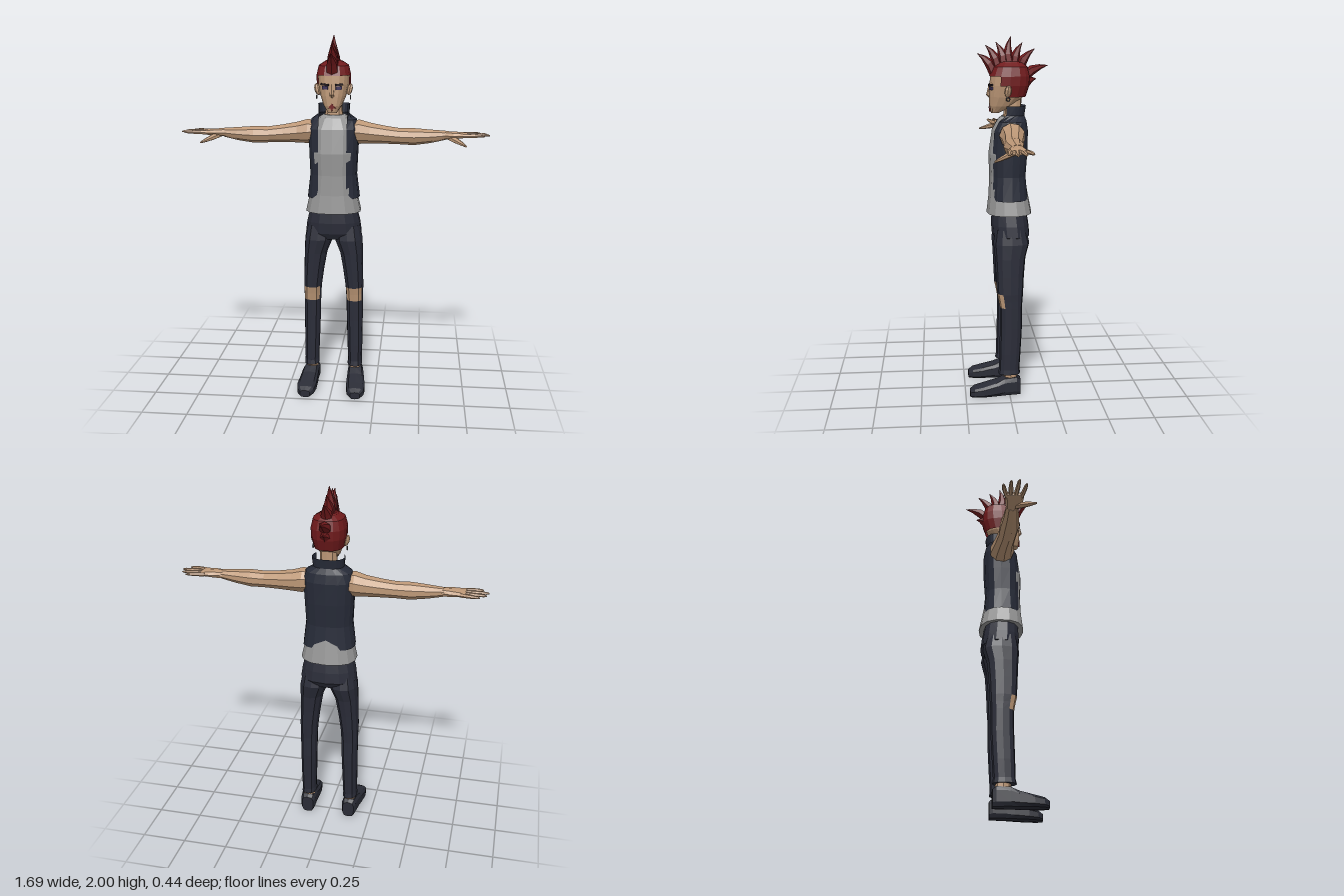
import * as THREE from 'three';

const mat = (name, color, side = THREE.FrontSide) => {
  const m = new THREE.MeshStandardMaterial({ color, side, flatShading: true });
  m.name = name;
  return m;
};

// Superellipse ring. Row = [position on axis, centre a, centre b, radius a, radius b]
function ring(axis, [p, ca, cb, ra, rb], n, e = 0.85, gap = 0, s = 1) {
  const pw = v => Math.sign(v) * Math.abs(v) ** e;
  const pts = [];
  const count = gap ? n + 1 : n;
  // a fixed-width opening at the front when gap is given
  const a0 = gap ? Math.asin(Math.min(0.98, gap / ra) ** (1 / e)) : 0;
  for (let j = 0; j < count; j++) {
    const t = a0 + (j / n) * (Math.PI * 2 - 2 * a0);
    const a = ca + ra * pw(Math.sin(t)), b = cb + rb * pw(Math.cos(t));
    const v = axis === 'x' ? [p, a, b] : axis === 'y' ? [a, p, b] : [a, b, p];
    pts.push(new THREE.Vector3(v[0] * s, v[1], v[2]));
  }
  return pts;
}

// Skin a list of rings; pick(i, j) gives the material index of a quad, or -1 for none
function loft(name, rings, mats, { pick = () => 0, caps = true, open = false } = {}) {
  const list = [].concat(mats), buckets = list.map(() => []);
  const n = rings[0].length, mid = new THREE.Vector3();
  rings.flat().forEach(p => mid.add(p));
  mid.divideScalar(rings.length * n);
  for (let i = 0; i < rings.length - 1; i++) {
    for (let j = 0; j < (open ? n - 1 : n); j++) {
      const k = pick(i, j);
      if (k < 0) continue;
      const a = rings[i][j], b = rings[i][(j + 1) % n], c = rings[i + 1][(j + 1) % n], d = rings[i + 1][j];
      buckets[k].push([a, b, c], [a, c, d]);
    }
  }
  if (caps) [rings[0], rings[rings.length - 1]].forEach((r, end) => {
    const c = r.reduce((s, p) => s.add(p), new THREE.Vector3()).divideScalar(n);
    r.forEach((p, j) => buckets[0].push(end ? [p, r[(j + 1) % n], c] : [r[(j + 1) % n], p, c]));
  });
  // turn all faces outward
  const q = [0, 1, 2].map(() => new THREE.Vector3());
  let vol = 0;
  buckets.flat().forEach(t => {
    t.forEach((p, i) => q[i].copy(p).sub(mid));
    vol += q[0].dot(q[1].cross(q[2]));
  });
  const pos = [], geo = new THREE.BufferGeometry();
  buckets.forEach((tris, k) => {
    geo.addGroup(pos.length / 3, tris.length * 3, k);
    tris.forEach(t => (vol < 0 ? [t[0], t[2], t[1]] : t).forEach(p => pos.push(p.x, p.y, p.z)));
  });
  geo.setAttribute('position', new THREE.Float32BufferAttribute(pos, 3));
  geo.computeVertexNormals();
  const mesh = new THREE.Mesh(geo, list.length > 1 ? list : list[0]);
  mesh.name = name;
  return mesh;
}

export function createModel() {
  const g = new THREE.Group();
  g.name = 'figure';
  const skin = mat('skin', 0xbd9877), shirt = mat('shirt grey', 0x959595);
  const denim = mat('dark denim', 0x2a2c38), leather = mat('vest navy', 0x272b38, THREE.DoubleSide);
  const hair = mat('hair red', 0x701a1c, THREE.DoubleSide), shoe = mat('shoe', 0x2a2c36);
  const dark = mat('brow dark', 0x241a20), iris = mat('eye violet', 0x40365c), metal = mat('earring metal', 0x55555a);
  const rows = (axis, data, n, e, gap, s) => data.map(r => ring(axis, r, n, e, gap, s));
  // rows of [y, half width, front z, back z]
  const body = data => data.map(([y, w, f, b]) => [y, 0, (f + b) / 2, w, (f - b) / 2]);
  const add = (name, geo, m, x, y, z, ry = 0, rz = 0) => {
    const o = new THREE.Mesh(geo, m);
    o.name = name;
    o.position.set(x, y, z);
    o.rotation.set(0, ry, rz);
    g.add(o);
    return o;
  };

  // Torso and clothes
  g.add(loft('shirt', rows('y', body([[1.04, 0.155, 0.12, -0.132], [1.14, 0.132, 0.108, -0.112],
    [1.25, 0.117, 0.103, -0.09], [1.37, 0.124, 0.108, -0.096], [1.5, 0.122, 0.088, -0.095],
    [1.56, 0.085, 0.055, -0.085], [1.575, 0.06, 0.035, -0.075]]), 14), shirt));
  g.add(loft('vest', rows('y', body([[1.12, 0.146, 0.1, -0.11], [1.25, 0.13, 0.096, -0.098],
    [1.38, 0.136, 0.099, -0.108], [1.5, 0.142, 0.088, -0.11], [1.55, 0.125, 0.064, -0.102],
    [1.58, 0.084, 0.048, -0.09], [1.632, 0.088, 0.04, -0.098]]), 14, 0.8, 0.077), leather, { caps: false, open: true }));
  g.add(loft('hips', rows('y', body([[1.06, 0.13, 0.09, -0.1], [0.98, 0.15, 0.095, -0.115],
    [0.92, 0.158, 0.09, -0.121], [0.885, 0.115, 0.07, -0.1]]), 14), denim));
  g.add(loft('neck', rows('y', [[1.54, 0, -0.025, 0.056, 0.055], [1.6, 0, -0.025, 0.046, 0.048],
    [1.69, 0, -0.025, 0.046, 0.05]], 10), skin));

  // Head and close-cut hair
  const skull = [[1.592, 0, 0.07, 0.024, 0.022], [1.63, 0, 0.036, 0.05, 0.065], [1.68, 0, 0.008, 0.07, 0.094],
    [1.74, 0, -0.003, 0.083, 0.103], [1.79, 0, -0.006, 0.085, 0.102], [1.83, 0, -0.01, 0.073, 0.085],
    [1.852, 0, -0.013, 0.04, 0.055]];
  g.add(loft('head', rows('y', skull, 16, 0.8), skin));
  const cap = skull.slice(2).map(([y, x, z, a, b], i) => [y + (i > 2 ? 0.01 : 0), x, z - 0.003, a + 0.009, b + 0.009]);
  g.add(loft('hairCap', rows('y', cap, 16, 0.8), hair, {
    caps: false,
    pick: (i, j) => Math.min(j, 15 - j) < [4, 3, 0, 0][i] ? -1 : 0,
  }));
  g.add(loft('hairTop', rows('y', [[1.845, 0, -0.013, 0.065, 0.08], [1.867, 0, -0.013, 0.04, 0.055]], 12), hair));

  // Crest of spikes: [tip z, tip y, base z, base y]
  [[0.165, 1.91, 0.075, 1.81], [0.122, 1.955, 0.052, 1.83], [0.065, 1.97, 0.025, 1.845], [-0.015, 2.0, -0.01, 1.845],
    [-0.078, 1.968, -0.035, 1.84], [-0.145, 1.935, -0.06, 1.825], [-0.218, 1.847, -0.085, 1.785],
    [-0.155, 1.775, -0.09, 1.74]].forEach(([tz, ty, bz, by], i) => {
    const len = Math.hypot(tz - bz, ty - by), dz = (tz - bz) / len, dy = (ty - by) / len;
    const rings = [[0, 0.036, 0.03], [0.4, 0.03, 0.026], [0.72, 0.014, 0.014], [1, 0.001, 0.001]].map(([f, rx, rp]) => {
      const bend = 0.014 * Math.sin(f * Math.PI) * (tz > bz ? -1 : 1);
      return Array.from({ length: 6 }, (_, j) => {
        const t = j * Math.PI / 3, p = Math.cos(t) * rp + bend;
        return new THREE.Vector3(Math.sin(t) * rx, by + dy * len * f - dz * p, bz + dz * len * f + dy * p);
      });
    });
    g.add(loft('hairSpike' + (i + 1), rings, hair));
  });

  // Face
  g.add(loft('nose', rows('y', [[1.745, 0, 0.094, 0.008, 0.01], [1.69, 0, 0.1, 0.014, 0.018],
    [1.675, 0, 0.095, 0.011, 0.01]], 6), skin));
  const tuft = new THREE.Shape([[-0.022, 0.005], [0, 0.032], [0.022, 0.005], [0.008, 0.007], [0, -0.012], [-0.008, 0.007]]
    .map(p => new THREE.Vector2(...p)));
  add('goatee', new THREE.ExtrudeGeometry(tuft, { depth: 0.008, bevelEnabled: false }), hair, 0, 1.612, 0.095);

  for (const s of [1, -1]) {
    const side = s > 0 ? 'left' : 'right';
    add(side + 'Eye', new THREE.BoxGeometry(0.032, 0.018, 0.009), iris, s * 0.036, 1.726, 0.094, s * 0.3);
    add(side + 'Brow', new THREE.BoxGeometry(0.044, 0.01, 0.009), dark, s * 0.038, 1.743, 0.0955, s * 0.3, s * 0.1);
    add(side + 'Ear', new THREE.SphereGeometry(0.03, 7, 5), skin, s * 0.088, 1.712, 0.005, s * 0.5, -s * 0.25).scale.set(0.45, 1.1, 0.75);
    add(side + 'Earring', new THREE.TorusGeometry(0.01, 0.003, 4, 8), metal, s * 0.092, 1.67, 0.006, Math.PI / 2);

    // Arm and hand
    g.add(loft(side + 'Arm', rows('x', [[0.09, 1.485, -0.01, 0.055, 0.06], [0.142, 1.482, -0.012, 0.068, 0.07],
      [0.2, 1.475, -0.012, 0.058, 0.061], [0.28, 1.468, -0.006, 0.05, 0.054], [0.36, 1.462, 0.002, 0.045, 0.051],
      [0.44, 1.461, 0.006, 0.047, 0.053], [0.53, 1.464, 0.007, 0.037, 0.042], [0.61, 1.47, 0.005, 0.025, 0.032]],
    9, 1, 0, s), skin));
    g.add(loft(side + 'Palm', rows('x', [[0.6, 1.47, 0.005, 0.023, 0.031], [0.65, 1.47, 0.011, 0.021, 0.045],
      [0.7, 1.472, 0.009, 0.016, 0.05], [0.725, 1.472, 0.005, 0.012, 0.048]], 8, 0.85, 0, s), skin));
    [[0.048, 0.062, 0.815], [0.016, 0.023, 0.846], [-0.012, -0.018, 0.835], [-0.036, -0.055, 0.802]].forEach(([z0, z1, x1], i) =>
      g.add(loft(side + 'Finger' + (i + 1), rows('x', [[0.7, 1.472, z0 - (z1 - z0) * 0.3, 0.012, 0.013],
        [(0.7 + x1) / 2, 1.474, (z0 + z1) / 2, 0.01, 0.012], [x1 - 0.015, 1.474, z1 - (z1 - z0) * 0.15, 0.007, 0.009],
        [x1, 1.473, z1, 0.003, 0.004]], 6, 1, 0, s), skin)));
    g.add(loft(side + 'Thumb', rows('z', [[0.02, 0.632, 1.462, 0.022, 0.018], [0.055, 0.66, 1.45, 0.02, 0.016],
      [0.09, 0.69, 1.438, 0.015, 0.011], [0.122, 0.715, 1.428, 0.005, 0.005]], 6, 1, 0, s), skin));

    // Trouser leg with a torn knee
    g.add(loft(side + 'Leg', rows('y', [[0.96, 0.078, -0.01, 0.07, 0.085], [0.88, 0.083, -0.013, 0.08, 0.1],
      [0.8, 0.101, -0.005, 0.065, 0.085], [0.7, 0.111, -0.003, 0.057, 0.078], [0.6, 0.119, -0.003, 0.051, 0.073],
      [0.56, 0.12, -0.006, 0.049, 0.067], [0.52, 0.121, -0.008, 0.048, 0.062], [0.4, 0.122, -0.008, 0.046, 0.062],
      [0.25, 0.124, -0.002, 0.043, 0.06], [0.155, 0.125, 0.002, 0.04, 0.058], [0.128, 0.125, 0.003, 0.043, 0.063]],
    12, 0.85, 0, s), [denim, skin], {
      pick: (i, j) => Math.min(j, 11 - j) < (i === 4 ? 2 : i === 5 ? 1.5 : 0) ? 1 : 0,
    }));
    g.add(loft(side + 'Ankle', rows('y', [[0.06, 0.125, -0.008, 0.034, 0.042], [0.16, 0.125, -0.002, 0.033, 0.038]],
      8, 0.9, 0, s), skin));
    g.add(loft(side + 'Shoe', rows('z', [[-0.06, 0.125, 0.05, 0.034, 0.05], [-0.04, 0.126, 0.058, 0.043, 0.058],
      [0.03, 0.131, 0.056, 0.047, 0.056], [0.075, 0.134, 0.045, 0.051, 0.045], [0.15, 0.139, 0.034, 0.055, 0.034],
      [0.2, 0.141, 0.028, 0.048, 0.028], [0.226, 0.141, 0.02, 0.028, 0.02]], 10, 0.6, 0, s), shoe));
  }
  return g;
}
